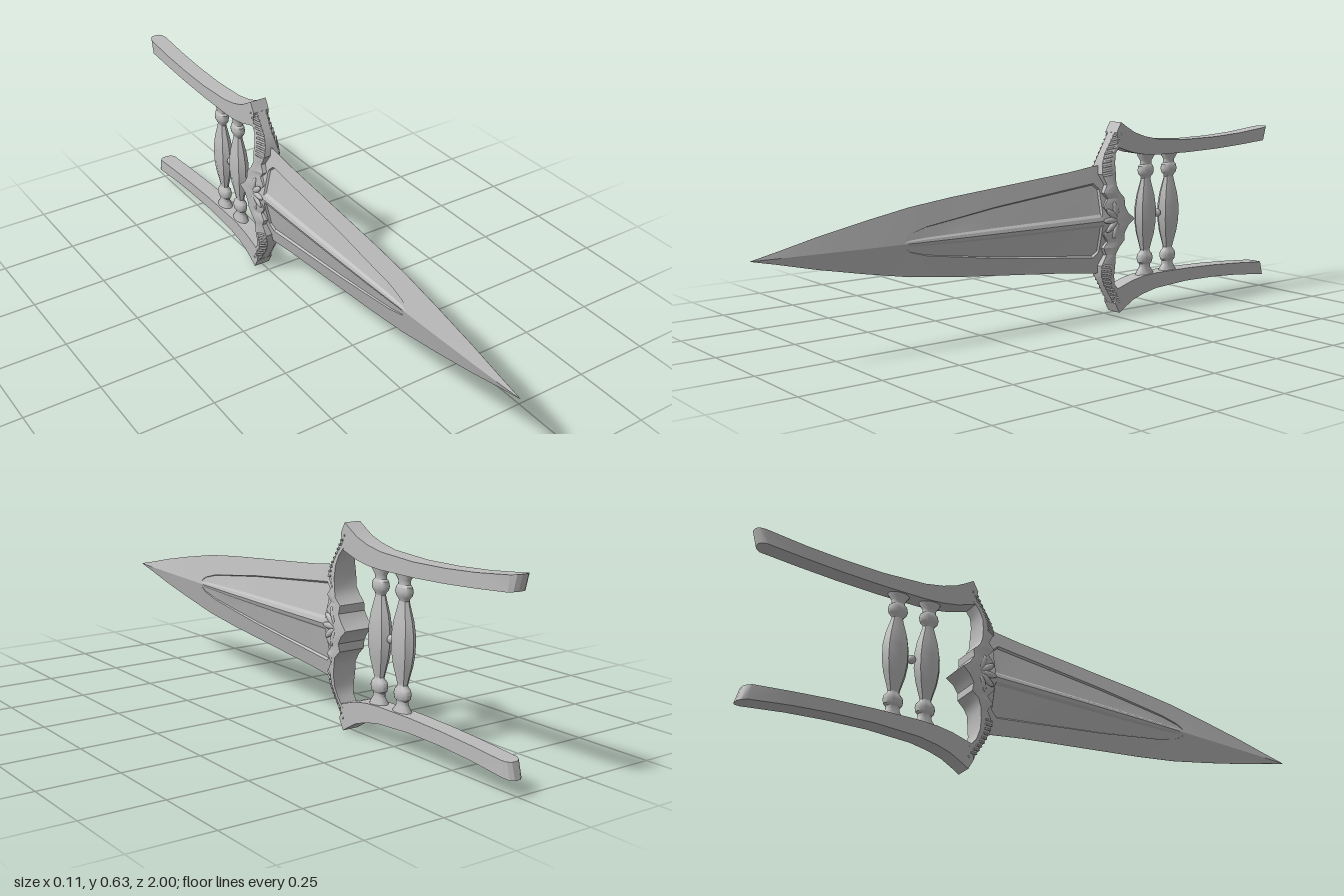
import * as THREE from 'three';
import { toCreasedNormals } from 'three/addons/utils/BufferGeometryUtils.js';

const MID = 0.315; // height of the symmetry axis
const steel = new THREE.MeshStandardMaterial({ color: 0xbcbcbc });
steel.name = 'steel';

// Skins closed rings of [x, y, z] points, caps both ends and faces outward.
function loft(rings, crease = 0.5) {
  const n = rings[0].length, tris = [];
  const quad = (a, b, c, d) => tris.push([a, b, c], [a, c, d]);
  for (let i = 0; i < rings.length - 1; i++)
    for (let j = 0; j < n; j++) {
      const k = (j + 1) % n;
      quad(rings[i][j], rings[i][k], rings[i + 1][k], rings[i + 1][j]);
    }
  // caps are strips between mirrored points of the ring
  const cap = (r, flip) => {
    for (let j = 0; j < n / 2 - 1; j++) {
      const q = [r[j], r[n - 1 - j], r[n - 2 - j], r[j + 1]];
      quad(...(flip ? q.reverse() : q));
    }
  };
  cap(rings[0], false);
  cap(rings[rings.length - 1], true);
  const V = (p) => new THREE.Vector3(...p);
  let volume = 0;
  for (const [a, b, c] of tris) volume += V(a).dot(V(b).cross(V(c)));
  if (volume < 0) tris.forEach((t) => t.reverse());
  const g = new THREE.BufferGeometry();
  g.setAttribute('position', new THREE.Float32BufferAttribute(tris.flat(2), 3));
  return toCreasedNormals(g, crease);
}

// Linear lookup in rows sorted by their first column.
function lookup(rows, t) {
  let i = 0;
  while (i < rows.length - 2 && t > rows[i + 1][0]) i++;
  const a = rows[i], b = rows[i + 1];
  const f = Math.min(1, Math.max(0, (t - a[0]) / (b[0] - a[0])));
  return a.map((v, k) => v + (b[k] - v) * f);
}

function add(parent, name, geometry) {
  const m = new THREE.Mesh(geometry, steel);
  m.name = name;
  parent.add(m);
  return m;
}

// z, half height, half thickness
const BLADE = [
  [-0.25, 0.178, 0.04], [-0.2, 0.176, 0.04], [-0.1, 0.163, 0.039], [0.05, 0.149, 0.037],
  [0.2, 0.135, 0.034], [0.35, 0.121, 0.03], [0.5, 0.103, 0.025], [0.65, 0.076, 0.019],
  [0.8, 0.046, 0.012], [0.92, 0.018, 0.006], [1, 0.0006, 0.0006],
];
// z, outer half height of the sunken panel, rib half height, depth
const PANEL = [
  [-0.25, 0.1, 0.022, 0], [-0.212, 0.1, 0.022, 0], [-0.208, 0.106, 0.022, 0.007],
  [-0.19, 0.122, 0.021, 0.008], [0.2, 0.079, 0.017, 0.007], [0.45, 0.043, 0.012, 0.005],
  [0.51, 0.026, 0.009, 0.003], [0.535, 0.008, 0.005, 0], [1, 0.0001, 0.00005, 0],
];

function bladeGeometry() {
  const zs = [...new Set([...BLADE, ...PANEL].map((r) => r[0]))].sort((a, b) => a - b);
  return loft(zs.map((z) => {
    const [, h, t] = lookup(BLADE, z);
    const [, po, r, depth] = lookup(PANEL, z);
    const outer = Math.min(po, h * 0.8), rib = Math.min(r, outer * 0.7);
    const skin = (y) => t * (1 - y / h);
    const inner = outer - (outer - rib) * 0.06;
    const half = [
      [outer, skin(outer)], [inner, skin(inner) - depth], [rib, skin(rib) - depth],
      [rib * 0.6, skin(rib * 0.6) - depth * 0.2],
    ];
    const side = [[h, 0.0003], ...half, [0, t], ...half.map(([y, x]) => [-y, x]).reverse(), [-h, 0.0003]];
    const right = side.map(([y, x]) => [x, MID + y, z]);
    return [...right, ...right.map(([x, y, zz]) => [-x, y, zz]).reverse()];
  }), 0.35);
}

// distance from axis, front z, back z, front half width, back half width
const GUARD = [
  [0, -0.222, -0.335, 0.034, 0.053], [0.02, -0.236, -0.31, 0.033, 0.05],
  [0.045, -0.216, -0.295, 0.035, 0.049], [0.07, -0.236, -0.297, 0.033, 0.045],
  [0.09, -0.218, -0.275, 0.034, 0.046], [0.115, -0.234, -0.264, 0.03, 0.041],
  [0.15, -0.215, -0.262, 0.028, 0.041], [0.185, -0.222, -0.262, 0.02, 0.036],
  [0.215, -0.236, -0.27, 0.015, 0.03], [0.25, -0.257, -0.298, 0.016, 0.028],
  [0.288, -0.28, -0.32, 0.017, 0.027],
];

function guardGeometry() {
  const rows = [...GUARD.slice(1).reverse().map((r) => [-r[0], ...r.slice(1)]), ...GUARD];
  return loft(rows.map(([d, zf, zb, wf, wb]) => {
    const zm = zb + (zf - zb) * 0.35, y = MID + d;
    return [[wf, y, zf], [wb, y, zm], [wb, y, zb], [-wb, y, zb], [-wb, y, zm], [-wf, y, zf]];
  }), 0.6);
}

// top z, top y, bottom z, bottom y, half width
const ARM = [
  [-0.294, 0.63, -0.276, 0.597, 0.028], [-0.318, 0.615, -0.286, 0.548, 0.028],
  [-0.355, 0.594, -0.35, 0.528, 0.028], [-0.4, 0.579, -0.4, 0.519, 0.028],
  [-0.46, 0.567, -0.46, 0.515, 0.028], [-0.6, 0.559, -0.6, 0.515, 0.028],
  [-0.73, 0.561, -0.73, 0.519, 0.028], [-0.85, 0.568, -0.85, 0.526, 0.028],
  [-0.975, 0.581, -0.967, 0.535, 0.028], [-0.992, 0.584, -0.98, 0.537, 0.021],
  [-1, 0.585, -0.987, 0.538, 0.01],
];

const armGeometry = (s) => loft(ARM.map(([zt, yt, zb, yb, w]) => {
  const a = MID + s * (yt - MID), b = MID + s * (yb - MID);
  return [[w, a, zt], [w, b, zb], [-w, b, zb], [-w, a, zt]];
}));

function lathe(points, sides) {
  const p = points.map(([r, y]) => new THREE.Vector2(r, y));
  const g = new THREE.LatheGeometry(p, sides);
  g.scale(0.64, 1, 1);
  return toCreasedNormals(g, 0.6);
}

// One turned grip bar: faceted belly, with collars and flared feet
function gripBar(z) {
  const bar = new THREE.Group();
  bar.name = 'gripBar';
  add(bar, 'gripBelly', lathe([
    [0.017, -0.13], [0.022, -0.11], [0.036, -0.065], [0.043, -0.025],
    [0.043, 0.025], [0.036, 0.065], [0.022, 0.11], [0.017, 0.13],
  ], 8));
  for (const s of [1, -1]) {
    const end = add(bar, 'gripCollar', lathe([
      [0.017, 0.118], [0.021, 0.128], [0.029, 0.136], [0.032, 0.148], [0.029, 0.162],
      [0.022, 0.168], [0.022, 0.18], [0.034, 0.198], [0.036, 0.208],
    ], 20));
    if (s < 0) end.rotation.x = Math.PI;
  }
  bar.position.set(0, MID, z);
  return bar;
}

export function createModel() {
  const model = new THREE.Group();
  model.name = 'punchDagger';
  add(model, 'blade', bladeGeometry());
  add(model, 'guard', guardGeometry());
  add(model, 'upperArm', armGeometry(1));
  add(model, 'lowerArm', armGeometry(-1));
  model.add(gripBar(-0.43), gripBar(-0.535));
  const bead = add(model, 'gripBead', new THREE.SphereGeometry(0.014, 12, 8));
  bead.position.set(0, MID, -0.4825);

  const up = new THREE.Vector3(0, 1, 0);
  for (const sx of [1, -1]) {
    // Flutes across the slanted sides of the guard
    for (const sy of [1, -1]) for (let i = 0; i < 10; i++) {
      const d = 0.145 + i * 0.014;
      const [, zf, zb, wf, wb] = lookup(GUARD, d);
      const a = new THREE.Vector3(sx * wf, MID + sy * d, zf);
      const b = new THREE.Vector3(sx * wb, MID + sy * (d + 0.006), zb + (zf - zb) * 0.35);
      const dir = b.clone().sub(a);
      const flute = add(model, 'guardFlute', new THREE.CylinderGeometry(0.0035, 0.0035, dir.length(), 6));
      flute.position.copy(a).addScaledVector(dir, 0.5);
      flute.quaternion.setFromUnitVectors(up, dir.normalize());
    }
    // Fan of petals at the centre of the guard
    for (let i = -2; i <= 2; i++) {
      const angle = i * 0.62;
      const petal = add(model, 'guardPetal', new THREE.SphereGeometry(1, 10, 8));
      petal.scale.set(0.007, 0.01, 0.03);
      petal.rotation.x = -angle;
      petal.position.set(sx * 0.042, MID + Math.sin(angle) * 0.035, -0.272 + Math.cos(angle) * 0.032);
    }
  }
  return model;
}
